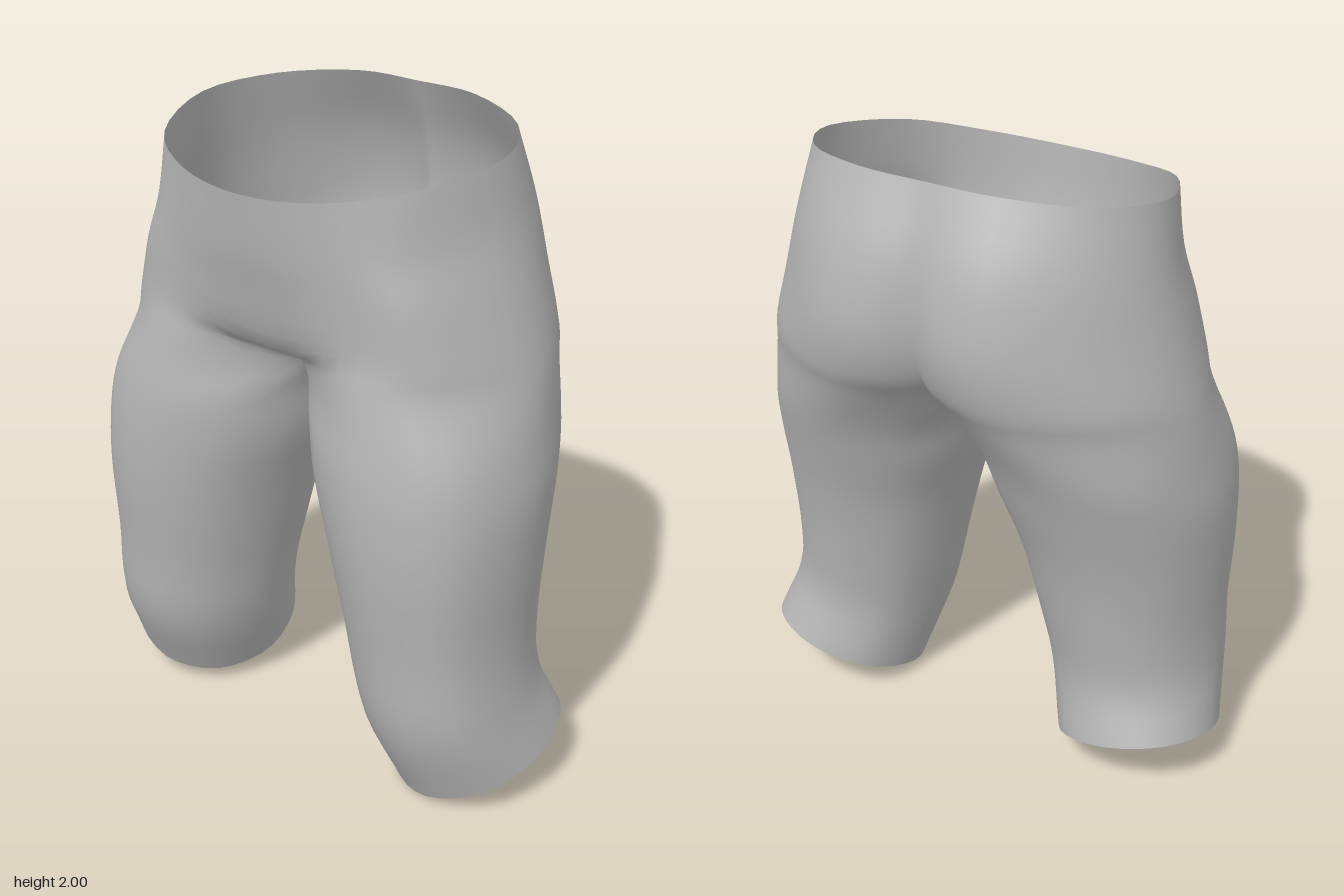
import * as THREE from 'three';
import { mergeVertices } from 'three/addons/utils/BufferGeometryUtils.js';

const SUB = 4;        // subdivisions between control points
const CROTCH = 6;     // index of the row where the legs join

// Roundness of a leg ring at its 8 points: front-inner, front, front-outer,
// outer, back-outer, back, back-inner, inner
const ROUND = [0.98, 1, 1.06, 1, 1.0, 1, 1.03, 1];

function legRow(y, xIn, xOut, zF, zB, tilt) {
  const cx = (xIn + xOut) / 2, rx = (xOut - xIn) / 2;
  const cz = (zF + zB) / 2, rz = (zF - zB) / 2;
  return ROUND.map((k, i) => {
    const a = (i - 1) * Math.PI / 4;
    const x = cx + rx * k * Math.sin(a), z = cz + rz * k * Math.cos(a);
    return new THREE.Vector3(x, y + tilt * (0.26 * (x - 0.55) - 0.3 * (z - 0.045)), z);
  });
}

// Half hip ring from front centre to back centre; the last point shapes the crease
const hipRow = (y, slope, pts) => pts.map(([x, z]) => new THREE.Vector3(x, y - slope * z, z));
const v3 = (p) => new THREE.Vector3(...p);

const rows = [
  legRow(0.104, 0.305, 0.80, 0.31, -0.22, 1),
  legRow(0.33, 0.24, 0.76, 0.41, -0.17, 0.5),
  legRow(0.55, 0.185, 0.745, 0.435, -0.185, 0.1),
  legRow(0.80, 0.12, 0.755, 0.46, -0.225, 0),
  legRow(1.00, 0.05, 0.757, 0.46, -0.28, 0),
  legRow(1.15, 0.014, 0.735, 0.445, -0.33, 0),
  [[0, 1.27, 0.2], [0.30, 1.33, 0.41], [0.565, 1.32, 0.328], [0.705, 1.32, 0.02],
    [0.575, 1.32, -0.262], [0.27, 1.32, -0.40], [0, 1.30, -0.25], [0, 1.24, 0]].map(v3),
  [[0, 1.37, 0.362], [0.31, 1.43, 0.40], [0.55, 1.42, 0.318], [0.68, 1.42, 0.01],
    [0.565, 1.42, -0.275], [0.27, 1.42, -0.442], [0, 1.42, -0.36], [0, 1.42, -0.05]].map(v3),
  hipRow(1.58, 0, [[0, 0.425], [0.30, 0.405], [0.51, 0.318], [0.635, 0], [0.53, -0.265], [0.26, -0.46], [0, -0.405], [0, -0.1]]),
  hipRow(1.75, 0.1, [[0, 0.45], [0.27, 0.415], [0.468, 0.307], [0.59, 0], [0.49, -0.247], [0.24, -0.42], [0, -0.393], [0, -0.25]]),
  [[0, 1.845, 0.465], [0.25, 1.86, 0.42], [0.455, 1.90, 0.285], [0.555, 1.945, 0.02],
    [0.45, 1.975, -0.2], [0.22, 1.998, -0.315], [0, 2, -0.325], [-0.22, 1.998, -0.315]].map(v3),
];

// Catmull-Rom interpolation of four points
function spline(a, b, c, d, t) {
  const f = (p, q, r, s) => q + 0.5 * t * (r - p + t * (2 * p - 5 * q + 4 * r - s + t * (3 * (q - r) + s - p)));
  return new THREE.Vector3(f(a.x, b.x, c.x, d.x), f(a.y, b.y, c.y, d.y), f(a.z, b.z, c.z, d.z));
}

// Control columns at row step r
function columnsAt(r) {
  const last = rows.length - 1;
  const k = Math.min(Math.floor(r / SUB), last - 1), t = r / SUB - k;
  const at = (i, c) => {
    if (i < 0) return rows[0][c].clone().multiplyScalar(2).sub(rows[1][c]);
    if (i > last) return rows[last][c].clone().multiplyScalar(2).sub(rows[last - 1][c]);
    return rows[i][c];
  };
  return rows[0].map((_, c) => spline(at(k - 1, c), at(k, c), at(k + 1, c), at(k + 2, c), t));
}

// Full ring of points at row step r
function ringAt(r) {
  const cols = columnsAt(r);
  const isHip = r > CROTCH * SUB;
  // the front tangent eases from the crotch to a smooth belly
  const ease = Math.min(1, (r - CROTCH * SUB) / SUB);
  const front = isHip
    ? rows[CROTCH][7].clone().lerp(cols[1].clone().setX(-cols[1].x), ease)
    : cols[7];
  const get = (i) => (i < 0 ? front : cols[i % 8]);
  const ring = [];
  for (let i = 0; i < (isHip ? 6 : 8) * SUB; i++) {
    const c = Math.floor(i / SUB);
    ring.push(spline(get(c - 1), get(c), get(c + 1), get(c + 2), (i % SUB) / SUB));
  }
  ring.push((isHip ? cols[6] : cols[0]).clone());
  ring.forEach((p) => { p.x = Math.max(0, p.x); });
  return ring;
}

function bodyGeometry() {
  const pos = [], idx = [];
  const total = (rows.length - 1) * SUB;
  for (const side of [1, -1]) {
    const starts = [];
    for (let r = 0; r <= total; r++) {
      starts.push(pos.length / 3);
      for (const p of ringAt(r)) {
        // the right hem sits a little higher, and the body leans slightly right
        const lift = side < 0 ? 0.045 * Math.max(0, 1 - p.y / 0.6) : 0;
        const lean = 0.01 * Math.min(1, Math.max(0, p.y - 0.15) / 0.3);
        pos.push(side * p.x - lean, p.y + lift, p.z);
      }
    }
    for (let r = 0; r < total; r++) {
      const n = (r < CROTCH * SUB ? 8 : 6) * SUB;
      for (let i = 0; i < n; i++) {
        const a = starts[r] + i, b = a + 1, d = starts[r + 1] + i, c = d + 1;
        if (side > 0) idx.push(a, b, c, a, c, d);
        else idx.push(a, c, b, a, d, c);
      }
    }
  }
  const geo = new THREE.BufferGeometry();
  geo.setAttribute('position', new THREE.Float32BufferAttribute(pos, 3));
  geo.setIndex(idx);
  const merged = mergeVertices(geo, 1e-4);
  merged.computeVertexNormals();
  return merged;
}

export function createModel() {
  const group = new THREE.Group();
  group.name = 'lowerBody';
  const grey = new THREE.MeshStandardMaterial({ color: 0xb4b4b4, side: THREE.DoubleSide });
  grey.name = 'plain grey';
  // Hips and both legs as one open shell
  const shell = new THREE.Mesh(bodyGeometry(), grey);
  shell.name = 'hipsAndLegs';
  group.add(shell);
  return group;
}
